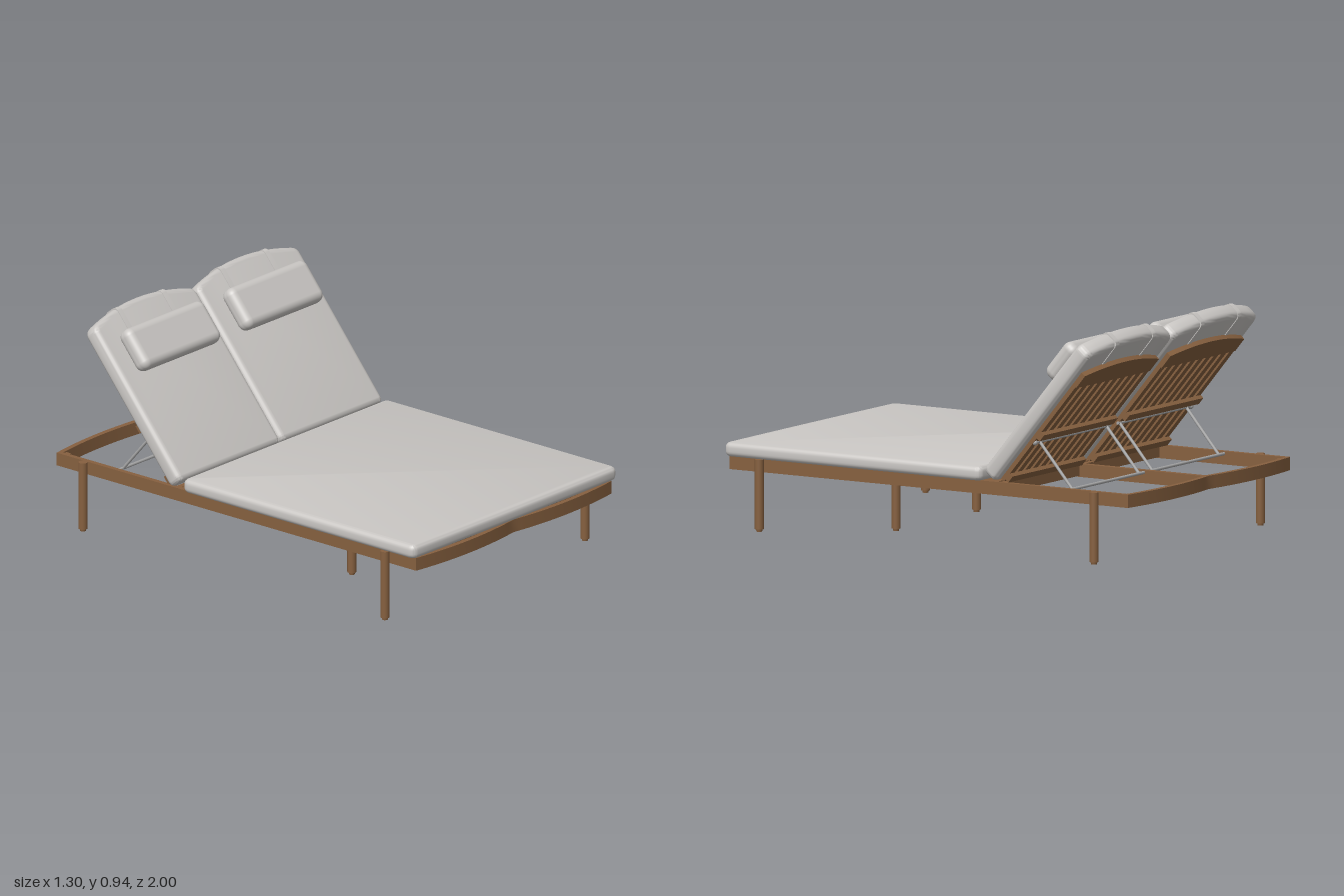
import * as THREE from 'three';
import { toCreasedNormals } from 'three/addons/utils/BufferGeometryUtils.js';
import { RoundedBoxGeometry } from 'three/addons/geometries/RoundedBoxGeometry.js';

const wood = new THREE.MeshStandardMaterial({ color: 0x86603f });
wood.name = 'warm wood';
const fabric = new THREE.MeshStandardMaterial({ color: 0xc9c6c3 });
fabric.name = 'light grey fabric';
const metal = new THREE.MeshStandardMaterial({ color: 0xa6a6a6 });
metal.name = 'brushed metal';

function add(parent, name, geometry, material, x = 0, y = 0, z = 0) {
  const mesh = new THREE.Mesh(geometry, material);
  mesh.name = name;
  mesh.position.set(x, y, z);
  parent.add(mesh);
  return mesh;
}

// Box given by its minimum and maximum on each axis
function bar(parent, name, x0, x1, y0, y1, z0, z1, material = wood) {
  return add(parent, name, new THREE.BoxGeometry(x1 - x0, y1 - y0, z1 - z0), material,
    (x0 + x1) / 2, (y0 + y1) / 2, (z0 + z1) / 2);
}

// Round rod between two points
function rod(parent, name, a, b, radius) {
  const from = new THREE.Vector3(...a), to = new THREE.Vector3(...b);
  const dir = to.clone().sub(from);
  const mesh = add(parent, name, new THREE.CylinderGeometry(radius, radius, dir.length(), 10), metal);
  mesh.position.copy(from).add(to).multiplyScalar(0.5);
  mesh.quaternion.setFromUnitVectors(new THREE.Vector3(0, 1, 0), dir.normalize());
}

// Soft pad: rounded outline with an optionally bowed far edge, thickness along z
function pad(width, length, bow, thickness, bevel, r) {
  const w = width / 2, s = new THREE.Shape();
  s.moveTo(-w + r, 0);
  s.lineTo(w - r, 0);
  s.quadraticCurveTo(w, 0, w, r);
  s.lineTo(w, length - r);
  s.quadraticCurveTo(w, length, w - r, length + bow * 0.2);
  s.quadraticCurveTo(0, length + bow * 1.9, -w + r, length + bow * 0.2);
  s.quadraticCurveTo(-w, length, -w, length - r);
  s.lineTo(-w, r);
  s.quadraticCurveTo(-w, 0, -w + r, 0);
  const g = new THREE.ExtrudeGeometry(s, {
    depth: thickness - 2 * bevel, bevelEnabled: true, bevelThickness: bevel,
    bevelSize: bevel, bevelOffset: -bevel, bevelSegments: 5, curveSegments: 14
  });
  g.translate(0, 0, bevel);
  return toCreasedNormals(g, 0.7);
}

// End rail bowed outward once for each half, built for the +z end
function endRail() {
  const bow = x => 0.975 + 0.025 * (1 - ((Math.abs(x) - 0.31) / 0.31) ** 2);
  const outer = [], inner = [];
  for (let i = 0; i <= 32; i++) {
    const x = -0.615 + 1.23 * i / 32;
    outer.push(new THREE.Vector2(x, bow(x)));
    inner.unshift(new THREE.Vector2(x, bow(x) - 0.022));
  }
  const g = new THREE.ExtrudeGeometry(new THREE.Shape([...inner, ...outer]), { depth: 0.055, bevelEnabled: false });
  g.rotateX(Math.PI / 2);
  return toCreasedNormals(g, 0.6);
}

function buildFrame(root) {
  const frame = new THREE.Group();
  frame.name = 'frame';
  root.add(frame);

  add(frame, 'footRail', endRail(), wood, 0, 0.3, 0);
  add(frame, 'headRail', endRail(), wood, 0, 0.3, 0).rotation.y = Math.PI;
  bar(frame, 'centreBeam', -0.013, 0.013, 0.245, 0.299, -0.965, 0.965);
  bar(frame, 'hingeCrossRail', -0.6, 0.6, 0.25, 0.295, -0.35, -0.325);

  for (const s of [-1, 1]) {
    const side = add(frame, 'sideRail', new THREE.BoxGeometry(0.022, 0.055, 1.95), wood, s * 0.604, 0.2725, 0);
    side.name = s > 0 ? 'leftSideRail' : 'rightSideRail';
    for (const e of [-1, 1])
      add(frame, 'cornerBlock', new THREE.BoxGeometry(0.025, 0.045, 0.03), wood, s * 0.583, 0.272, e * 0.95);

    // Seat deck: border planks, a middle strip and transverse slats
    for (const x of [0.04, 0.57])
      add(frame, 'deckBorder', new THREE.BoxGeometry(0.055, 0.02, 1.28), wood, s * x, 0.285, 0.33);
    add(frame, 'deckStrip', new THREE.BoxGeometry(0.05, 0.025, 1.28), wood, s * 0.305, 0.27, 0.33);
    for (const z of [-0.28, 0.93])
      add(frame, 'deckEndPlank', new THREE.BoxGeometry(0.56, 0.018, 0.08), wood, s * 0.305, 0.288, z);
    for (let i = 0; i < 9; i++)
      add(frame, 'seatSlat', new THREE.BoxGeometry(0.53, 0.014, 0.065), wood, s * 0.305, 0.289, -0.17 + i * 0.124);

    // Legs with small feet
    for (const [x, z, top] of [[0.63, 0.82, 0.3], [0.63, -0.82, 0.3], [0.305, 0.36, 0.265]]) {
      add(frame, 'leg', new THREE.CylinderGeometry(0.019, 0.019, top - 0.01, 20), wood, s * x, (top + 0.01) / 2, z);
      add(frame, 'foot', new THREE.CylinderGeometry(0.014, 0.012, 0.012, 16), wood, s * x, 0.006, z);
    }
  }
}

// Strap that runs up the pad's front, over its top edge and down its back
function strap(top) {
  const s = new THREE.Shape();
  s.moveTo(-0.003, 0.64);
  s.lineTo(0.078, 0.62);
  s.lineTo(0.078, top - 0.028);
  s.quadraticCurveTo(0.078, top, 0.05, top);
  s.lineTo(0.025, top);
  s.quadraticCurveTo(-0.003, top, -0.003, top - 0.028);
  const g = new THREE.ExtrudeGeometry(s, { depth: 0.026, bevelEnabled: false, curveSegments: 8 });
  g.translate(0, 0, -0.013);
  g.rotateY(-Math.PI / 2);
  return toCreasedNormals(g, 0.6);
}

// Wooden top rail of the backrest with an arched upper edge
function archedRail() {
  const s = new THREE.Shape();
  s.moveTo(-0.28, 0.565);
  s.lineTo(0.28, 0.565);
  s.lineTo(0.28, 0.635);
  s.quadraticCurveTo(0, 0.71, -0.28, 0.635);
  return new THREE.ExtrudeGeometry(s, { depth: 0.022, bevelEnabled: false });
}

function buildBackrest(root) {
  // Local axes: y runs up the back, z points out of its front face
  const back = new THREE.Group();
  back.name = 'backrest';
  back.position.set(0, 0.3, -0.335);
  back.rotation.x = -0.695;
  root.add(back);

  for (const s of [-1, 1]) {
    const half = new THREE.Group();
    half.name = s > 0 ? 'leftBackHalf' : 'rightBackHalf';
    half.position.x = s * 0.3235;
    back.add(half);

    add(half, 'backCushion', pad(0.643, 0.735, 0.05, 0.075, 0.024, 0.03), fabric);
    add(half, 'headPillow', new RoundedBoxGeometry(0.49, 0.19, 0.078, 5, 0.034), fabric, 0, 0.572, 0.119);
    for (const x of [-0.14, 0.14]) add(half, 'pillowStrap', strap(0.781), fabric, x);

    // Slatted support
    add(half, 'backTopRail', archedRail(), wood, 0, 0, -0.022);
    for (let i = 0; i < 10; i++) {
      const x = -0.262 + i * 0.0582;
      bar(half, 'backSlat', x - 0.018, x + 0.018, 0.02, 0.57, -0.018, 0.002);
    }
    for (const y of [0.03, 0.27]) bar(half, 'backCrossRail', -0.28, 0.28, y, y + 0.035, -0.036, -0.016);
  }
}

function buildSupports(root) {
  const props = new THREE.Group();
  props.name = 'reclineSupports';
  root.add(props);
  for (const s of [-1, 1]) {
    for (const x of [0.05, 0.555])
      rod(props, 'propRod', [s * x, 0.475, -0.505], [s * x, 0.29, -0.665], 0.0065);
    rod(props, 'lowerCrossbar', [s * 0.012, 0.29, -0.665], [s * 0.6, 0.29, -0.665], 0.0065);
    rod(props, 'upperCrossbar', [s * 0.035, 0.475, -0.505], [s * 0.59, 0.475, -0.505], 0.0065);
    add(props, 'rodKnob', new THREE.SphereGeometry(0.012, 12, 8), metal, s * 0.59, 0.475, -0.505);
  }
}

export function createModel() {
  const root = new THREE.Group();
  root.name = 'doubleSunLounger';
  buildFrame(root);

  // Seat cushion lies flat with its slightly bowed edge at the foot
  const seat = add(root, 'seatCushion', pad(1.29, 1.26, 0.004, 0.06, 0.022, 0.035), fabric, 0, 0.36, -0.272);
  seat.rotation.x = Math.PI / 2;

  buildBackrest(root);
  buildSupports(root);
  return root;
}
